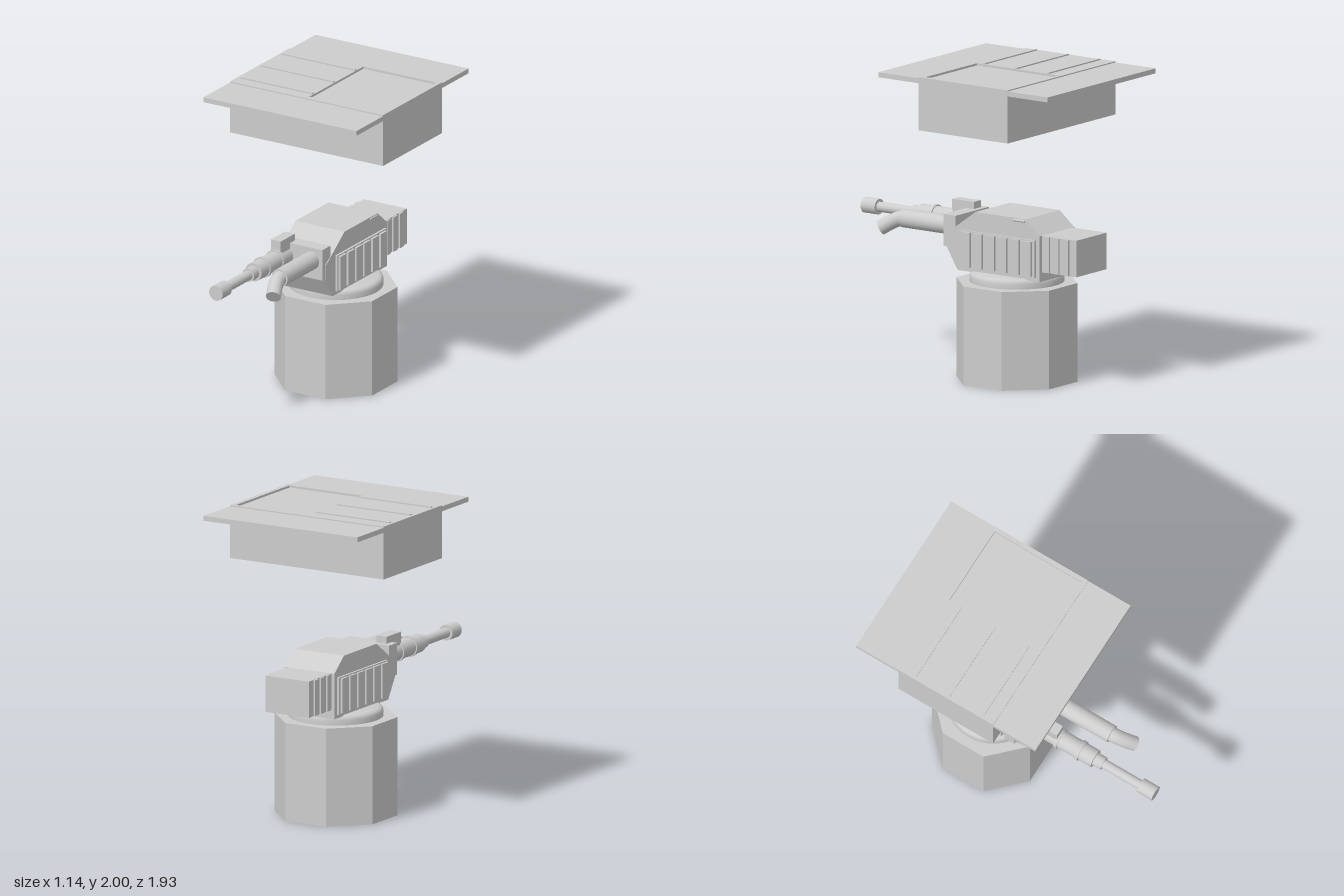
import * as THREE from 'three';
import { toCreasedNormals } from 'three/addons/utils/BufferGeometryUtils.js';

const grey = new THREE.MeshStandardMaterial({ color: 0xcccccc, side: THREE.DoubleSide });
grey.name = 'grey';

export function createModel() {
  const root = new THREE.Group();
  root.name = 'turretEmplacement';

  const add = (name, geo, parent = root) => {
    const mesh = new THREE.Mesh(geo, grey);
    mesh.name = name;
    parent.add(mesh);
    return mesh;
  };
  const group = (name) => {
    const g = new THREE.Group();
    g.name = name;
    root.add(g);
    return g;
  };
  // Box given by its min and max on each axis
  const box = (name, x0, x1, y0, y1, z0, z1, parent) => {
    const geo = new THREE.BoxGeometry(x1 - x0, y1 - y0, z1 - z0);
    geo.translate((x0 + x1) / 2, (y0 + y1) / 2, (z0 + z1) / 2);
    return add(name, geo, parent);
  };
  // Cylinder lying along z
  const rod = (name, x, y, z0, z1, r, parent) => {
    const geo = new THREE.CylinderGeometry(r, r, z1 - z0, 32);
    geo.rotateX(Math.PI / 2).translate(x, y, (z0 + z1) / 2);
    return add(name, geo, parent);
  };
  // Side profile of [z, y] points, extruded across x
  const slab = (name, points, halfWidth, parent) => {
    const shape = new THREE.Shape(points.map(([z, y]) => new THREE.Vector2(z, y)));
    const geo = new THREE.ExtrudeGeometry(shape, { depth: halfWidth * 2, bevelEnabled: false });
    geo.translate(0, 0, -halfWidth).rotateY(-Math.PI / 2);
    return add(name, geo, parent);
  };

  // Octagonal pedestal, hollow and open underneath
  const cz = -0.3;
  const radius = 0.363 / Math.cos(Math.PI / 8);
  const wall = new THREE.CylinderGeometry(radius, radius, 0.635, 8, 1, true);
  wall.rotateY(Math.PI / 8).translate(0, 0.3175, cz);
  add('pedestalWall', toCreasedNormals(wall, 0.3));
  const cap = new THREE.CircleGeometry(radius, 8);
  cap.rotateZ(Math.PI / 8).rotateX(-Math.PI / 2).translate(0, 0.635, cz);
  add('pedestalTop', cap);

  // Rounded turntable ring
  const ring = [[0.3, 0.635], [0.3, 0.668], [0.296, 0.682], [0.287, 0.692], [0.272, 0.697], [0, 0.697]];
  const lathe = new THREE.LatheGeometry(ring.map(([r, y]) => new THREE.Vector2(r, y)), 48);
  lathe.translate(0, 0, cz);
  add('turntable', toCreasedNormals(lathe, 0.6));

  // Turret body with sloped nose and rear
  const turret = group('turret');
  slab('turretBody', [
    [0.03, 0.69], [0.115, 0.83], [0.115, 0.92], [0.05, 0.965], [-0.11, 1.08],
    [-0.5, 1.08], [-0.615, 0.985], [-0.615, 0.69],
  ], 0.183, turret);
  box('mantlet', -0.178, 0.178, 0.83, 1.035, 0.05, 0.145, turret);

  // Ribbed side panels
  for (const s of [-1, 1]) {
    const panel = box('sidePanel', -0.01, 0.01, 0.715, 0.955, -0.585, 0, turret);
    panel.position.x = s * 0.188;
    for (let i = 0; i < 6; i++) {
      const z = -0.012 - i * 0.096;
      const rib = box('panelRib', -0.01, 0.01, 0.722, 0.947, z - 0.074, z, turret);
      rib.position.x = s * 0.204;
    }
  }

  // Rear counterweight with side ribs
  box('counterweight', -0.16, 0.16, 0.75, 0.985, -0.885, -0.61, turret);
  for (const s of [-1, 1]) {
    for (let i = 0; i < 3; i++) {
      const z = -0.635 - i * 0.075;
      const rib = box('counterweightRib', -0.008, 0.008, 0.752, 0.983, z - 0.045, z, turret);
      rib.position.x = s * 0.164;
    }
  }

  // Small handle near the upper rear edge
  rod('handle', 0.18, 1.066, -0.5, -0.41, 0.009, turret);

  // Long stepped gun
  const gun = group('gun');
  [
    ['gunSleeve', 0.14, 0.52, 0.06],
    ['gunRearCollar', 0.245, 0.268, 0.068],
    ['gunFrontCollar', 0.4, 0.424, 0.068],
    ['gunStep', 0.52, 0.582, 0.044],
    ['gunBarrel', 0.58, 0.86, 0.032],
    ['gunMuzzle', 0.855, 0.965, 0.05],
  ].forEach(([name, z0, z1, r]) => rod(name, -0.1, 0.95, z0, z1, r, gun));
  box('gunSight', -0.137, -0.063, 0.99, 1.08, 0.085, 0.255, gun);

  // Short pipe with a bent nozzle
  const pipe = group('bentPipe');
  rod('pipeSleeve', 0.095, 0.95, 0.14, 0.52, 0.059, pipe);
  const path = new THREE.CatmullRomCurve3([
    new THREE.Vector3(0.095, 0.95, 0.51),
    new THREE.Vector3(0.099, 0.943, 0.55),
    new THREE.Vector3(0.113, 0.92, 0.6),
    new THREE.Vector3(0.14, 0.878, 0.665),
  ]);
  add('nozzle', new THREE.TubeGeometry(path, 16, 0.048, 24), pipe);
  const end = add('nozzleEnd', new THREE.CircleGeometry(0.048, 24), pipe);
  end.position.copy(path.getPoint(1));
  end.lookAt(end.position.clone().add(path.getTangent(1)));

  // Floating canopy: block, two wings and a deck with a recessed hatch
  const canopy = group('canopy');
  box('canopyBlock', -0.57, 0.57, 1.65, 1.978, -0.65, 0.05, canopy);
  box('frontWing', -0.57, 0.57, 1.953, 1.985, 0.05, 0.365, canopy);
  box('rearWing', -0.57, 0.57, 1.953, 1.985, -0.965, -0.65, canopy);
  const rect = (Type, x0, x1, z0, z1) => new Type([
    new THREE.Vector2(x0, -z0), new THREE.Vector2(x1, -z0),
    new THREE.Vector2(x1, -z1), new THREE.Vector2(x0, -z1),
  ]);
  const deck = rect(THREE.Shape, -0.57, 0.57, -0.65, 0.05);
  deck.holes.push(rect(THREE.Path, 0, 0.54, -0.625, 0.015));
  const deckGeo = new THREE.ExtrudeGeometry(deck, { depth: 0.014, bevelEnabled: false });
  deckGeo.rotateX(-Math.PI / 2).translate(0, 1.978, 0);
  add('canopyDeck', deckGeo, canopy);

  // Raised strips beside the hatch
  for (const z of [-0.04, -0.29, -0.54]) {
    box('deckStrip', -0.55, -0.005, 1.99, 2, z - 0.009, z + 0.009, canopy);
  }

  return root;
}
